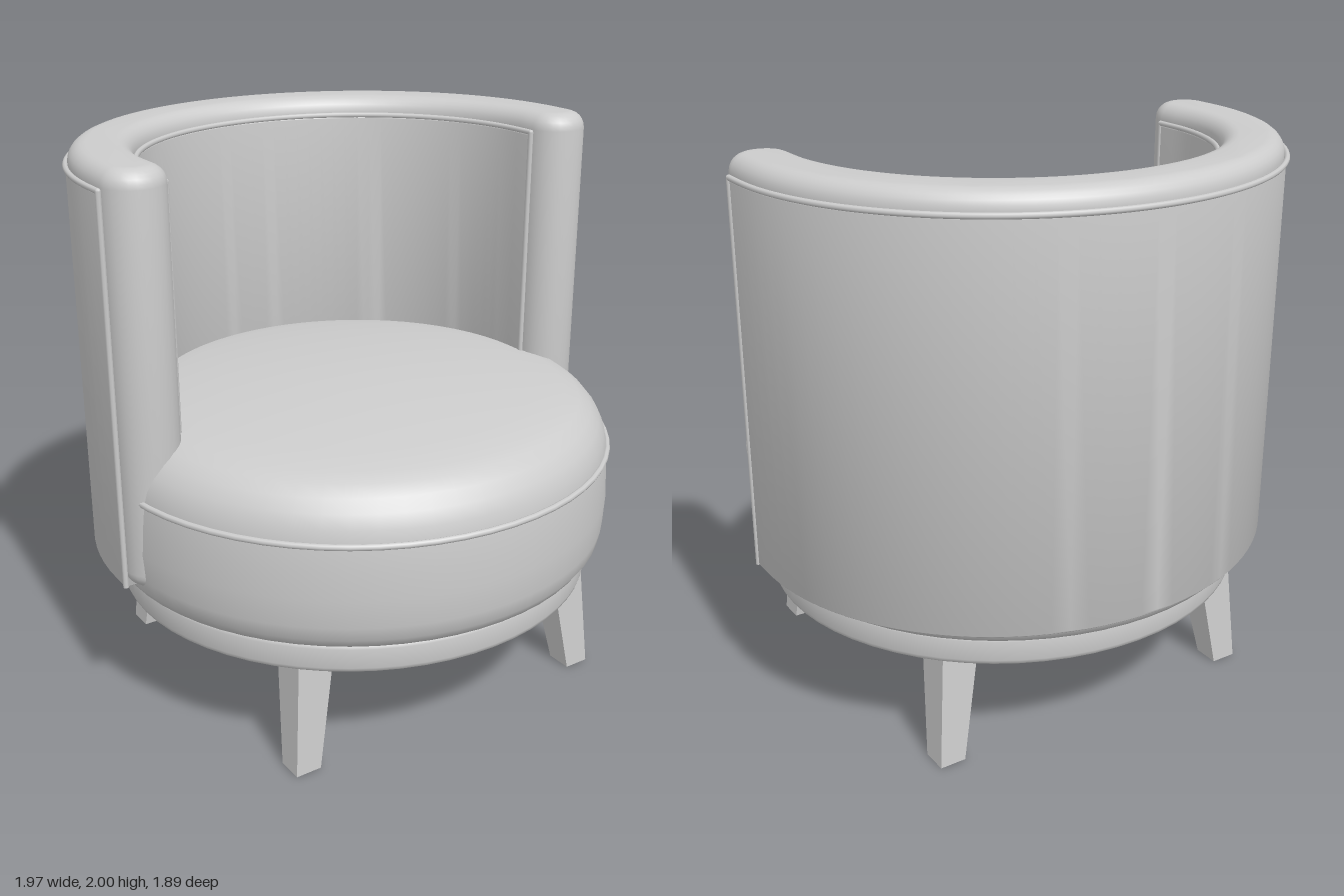
import * as THREE from 'three';
import { toCreasedNormals } from 'three/addons/utils/BufferGeometryUtils.js';

export function createModel() {
  const chair = new THREE.Group();
  chair.name = 'tubArmchair';
  const grey = new THREE.MeshStandardMaterial({ color: 0xcccccc });
  grey.name = 'light grey';

  const add = (name, geometry) => {
    const mesh = new THREE.Mesh(geometry, grey);
    mesh.name = name;
    chair.add(mesh);
    return mesh;
  };

  // Slightly oval turned part from a bottom-to-top profile
  const turned = (name, profile, rx, rz, z) => {
    const pts = profile.map(([r, y]) => new THREE.Vector2(r, y));
    const g = new THREE.LatheGeometry(pts, 64).scale(rx, 1, rz).translate(0, 0, z);
    return add(name, toCreasedNormals(g, 0.7));
  };

  // Horseshoe plan, open to the front, extruded upward with rounded edges
  const horseshoe = (name, inner, outer, front, bulge, y0, y1, bevel) => {
    const pts = [], n = 48, ox = outer[0] - bevel, oz = outer[1] - bevel;
    const ix = inner[0] + bevel, iz = inner[1] + bevel;
    const mid = (ox + ix) / 2, half = (ox - ix) / 2;
    const put = (x, z) => pts.push(new THREE.Vector2(x, -z));
    const arc = (rx, rz, a) => put(rx * Math.cos(a), -rz * Math.sin(a));
    const end = (side, dir) => {
      for (let i = 0; i <= 12; i++) {
        const a = Math.PI * i / 12;
        if (bulge > 0 || i === 0 || i === 12)
          put(side * mid + dir * half * Math.cos(a), front + bulge * Math.sin(a));
      }
    };
    for (let i = 0; i <= n; i++) arc(ox, oz, Math.PI * i / n);
    end(-1, -1);
    for (let i = n; i >= 0; i--) arc(ix, iz, Math.PI * i / n);
    end(1, -1);
    const g = new THREE.ExtrudeGeometry(new THREE.Shape(pts), {
      depth: y1 - y0 - 2 * bevel, bevelEnabled: true,
      bevelSize: bevel, bevelThickness: bevel, bevelSegments: 6,
    });
    g.rotateX(-Math.PI / 2).translate(0, y0 + bevel, 0);
    return add(name, toCreasedNormals(g, 0.7));
  };

  // Piping up one arm, around the back and down the other arm
  const piping = (name, rx, rz, front, bottom, top) => {
    const path = new THREE.CurvePath(), n = 40;
    const at = (x, y, z) => new THREE.Vector3(x, y, z);
    const around = [at(rx, top, front)];
    for (let i = 0; i <= n; i++) {
      const a = Math.PI * i / n;
      around.push(at(rx * Math.cos(a), top, -rz * Math.sin(a)));
    }
    around.push(at(-rx, top, front));
    add(name + 'Rim', new THREE.TubeGeometry(new THREE.CatmullRomCurve3(around), 96, 0.01, 8));
    for (const side of [1, -1]) {
      const g = new THREE.CylinderGeometry(0.01, 0.01, top - bottom, 8);
      add(name + (side > 0 ? 'Left' : 'Right'), g.translate(side * rx, (top + bottom) / 2, front));
      add(name + 'Corner', new THREE.SphereGeometry(0.01, 8, 6).translate(side * rx, top, front));
    }
  };

  // Plinth under the seat
  turned('basePlinth', [[0, 0.395], [0.985, 0.395], [0.996, 0.402], [1, 0.415],
    [1, 0.485], [0.996, 0.498], [0.985, 0.505], [0, 0.505]], 0.885, 0.86, 0.015);

  // Upholstered seat with a softly domed cushion
  turned('seat', [[0, 0.505], [0.93, 0.505], [0.96, 0.515], [0.985, 0.55], [0.995, 0.6],
    [1, 0.7], [0.995, 0.8], [0.988, 0.89], [0.978, 0.94], [0.955, 0.985], [0.92, 1.025],
    [0.875, 1.055], [0.82, 1.073], [0.7, 1.092], [0.5, 1.114], [0.25, 1.13], [0, 1.135]],
  0.95, 0.932, 0.008);
  const seatPiping = new THREE.TorusGeometry(0.94, 0.011, 8, 64).rotateX(Math.PI / 2);
  add('seatPiping', seatPiping.scale(1, 1, 0.983).translate(0, 0.89, 0.01));

  // Padded roll of the back and arms, and the shell panels around it
  horseshoe('backRoll', [0.75, 0.715], [0.97, 0.922], 0.072, 0.046, 0.56, 2, 0.06);
  horseshoe('backShell', [0.741, 0.705], [0.978, 0.93], 0.065, 0, 0.555, 1.93, 0.012);
  piping('outerPiping', 0.976, 0.935, 0.077, 0.56, 1.93);
  piping('innerPiping', 0.745, 0.71, 0.072, 0.9, 1.93);

  // Four splayed, tapered square legs
  for (const sx of [1, -1]) for (const sz of [1, -1]) {
    const g = new THREE.BoxGeometry(1, 0.4, 1);
    const p = g.attributes.position;
    for (let i = 0; i < p.count; i++) {
      const top = p.getY(i) > 0;
      const c = top ? 0.552 : 0.604, w = top ? 0.136 : 0.095;
      p.setXYZ(i, sx * c + p.getX(i) * w, top ? 0.4 : 0, sz * c * 0.97 + 0.015 + p.getZ(i) * w);
    }
    g.computeVertexNormals();
    add((sz > 0 ? 'front' : 'back') + (sx > 0 ? 'Left' : 'Right') + 'Leg', g);
  }
  return chair;
}
